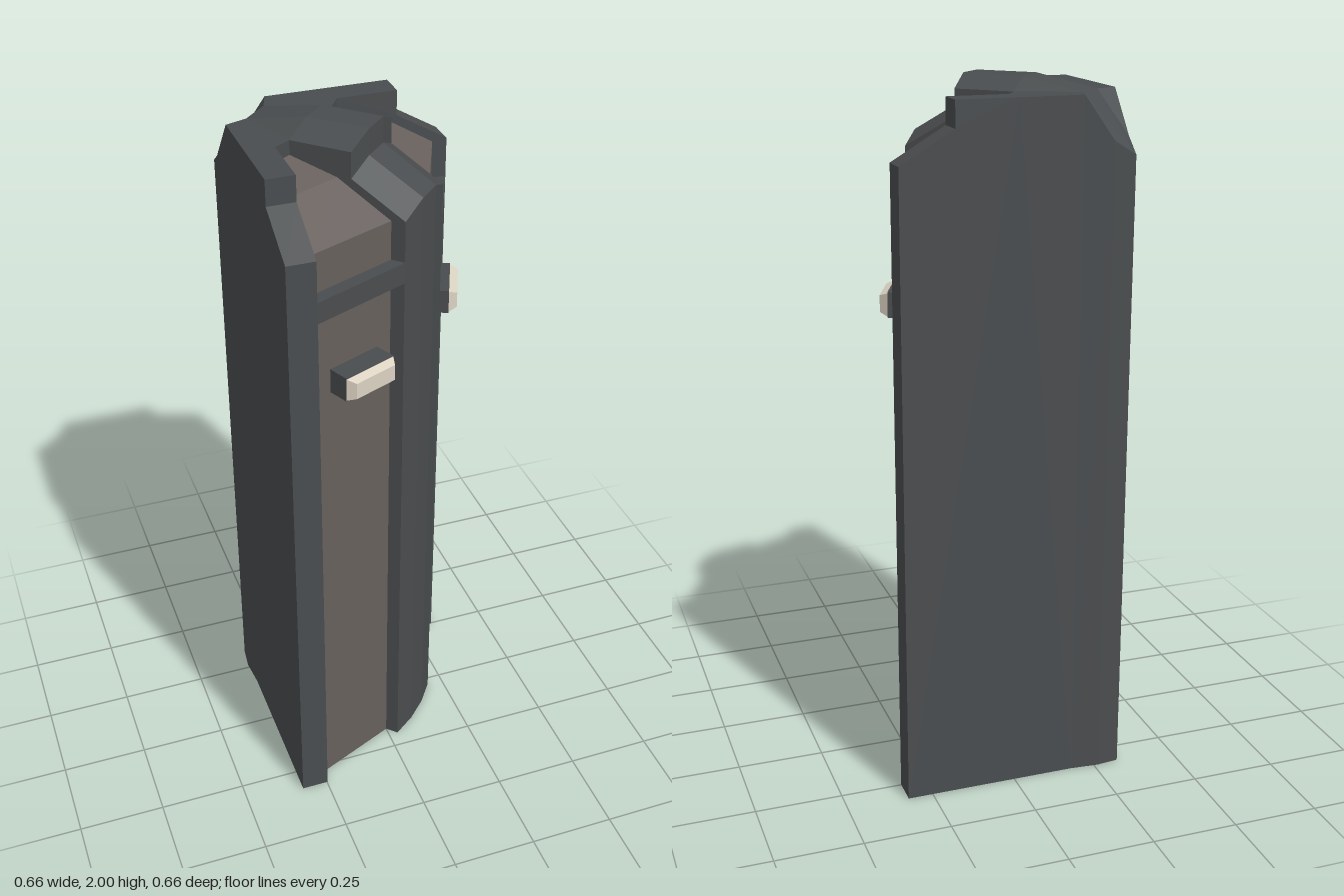
import * as THREE from 'three';

const bodyMat = new THREE.MeshStandardMaterial({ color: 0x4a4d4f, flatShading: true });
const panelMat = new THREE.MeshStandardMaterial({ color: 0x67605d, flatShading: true });
const lampMat = new THREE.MeshStandardMaterial({ color: 0xdcd3c2, flatShading: true });

// Convex polygons, each a counter-clockwise list of [x, y, z], fanned into triangles
function polygons(list) {
  const pos = [];
  for (const p of list)
    for (let i = 1; i < p.length - 1; i++) pos.push(...p[0], ...p[i], ...p[i + 1]);
  const geo = new THREE.BufferGeometry();
  geo.setAttribute('position', new THREE.Float32BufferAttribute(pos, 3));
  geo.computeVertexNormals();
  return geo;
}

// Quads between rows of points; rows run left to right, stacked upwards
function loftFaces(rows) {
  const faces = [];
  for (let r = 0; r < rows.length - 1; r++)
    for (let c = 0; c < rows[r].length - 1; c++)
      faces.push([rows[r][c], rows[r][c + 1], rows[r + 1][c + 1], rows[r + 1][c]]);
  return faces;
}

// Plan points [x, z] lifted to one height or a list of heights
const lift = (plan, y) => plan.map(([x, z], i) => [x, Array.isArray(y) ? y[i] : y, z]);

// Vertical prism over a plan outline
function prism(plan, y0, y1) {
  const shape = new THREE.Shape(plan.map(([x, z]) => new THREE.Vector2(x, -z)));
  return new THREE.ExtrudeGeometry(shape, { depth: y1 - y0, bevelEnabled: false })
    .rotateX(-Math.PI / 2).translate(0, y0, 0);
}

// Copy reflected across the diagonal plane x = z, with the winding restored
function mirrored(geo) {
  const src = (geo.index ? geo.toNonIndexed() : geo).getAttribute('position');
  const pos = [];
  for (let i = 0; i < src.count; i += 3)
    for (const k of [i, i + 2, i + 1]) pos.push(src.getZ(k), src.getY(k), src.getX(k));
  const out = new THREE.BufferGeometry();
  out.setAttribute('position', new THREE.Float32BufferAttribute(pos, 3));
  out.computeVertexNormals();
  return out;
}

export function createModel() {
  const model = new THREE.Group();
  model.name = 'quarterTower';
  const add = (name, geo, mat) => {
    const mesh = new THREE.Mesh(geo, mat);
    mesh.name = name;
    model.add(mesh);
  };
  const addPair = (name, geo, mat) => {
    add(name + 'Front', geo, mat);
    add(name + 'Side', mirrored(geo), mat);
  };

  const W = -0.327, IN = -0.248, DECK = 1.965;
  const flip = ([x, z]) => [z, x];
  const A = [W, -0.178], B = [-0.266, -0.199], C = flip(B), D = flip(A);

  // Core with the flat roof deck
  const deckHalf = [A, [W, 0], [IN, 0], [-0.202, -0.03]];
  add('coreDeck', prism([...deckHalf, ...deckHalf.map(flip).reverse(), C, B], 0, DECK), bodyMat);

  // Back corner: slightly bulged walls and a sloping scooped top
  const K = [W, W], E = [-0.334, -0.262], F = flip(E);
  const [a, b, c, d] = lift([A, B, C, D], DECK);
  const [e, f] = lift([E, F], 1.845);
  const k = [W, 1.805, W];
  const floor = ([x, , z]) => [x, 0, z];
  const walls = [[d, f], [f, k], [k, e], [e, a]].map(([p, q]) => [floor(p), floor(q), q, p]);
  add('backCorner', polygons([
    [e, a, b], [k, e, b], [k, b, c], [k, c, f], [c, d, f],
    ...walls, [k, f, d, c, b, a, e].map(floor),
  ]), bodyMat);

  // Central rib along the diagonal: curved front, sloped shoulder, step and crown
  const outer = [[0.028, 0.2], [0.094, 0.152], [0.152, 0.094], [0.2, 0.028]];
  const inner = [[-0.079, 0.093], [-0.014, 0.046], [0.046, -0.014], [0.093, -0.079]];
  const rear = [[-0.202, -0.03], [-0.139, -0.079], [-0.079, -0.139], [-0.03, -0.202]];
  const arch = (y) => [y, y + 0.035, y + 0.035, y];
  const rows = [
    lift(outer, 0), lift(outer, arch(1.805)), lift(inner, arch(1.893)),
    lift(inner, arch(DECK)), lift(rear, arch(DECK)), [b, b, c, c],
  ];
  const side = (col) => [floor(rows[4][col]), ...rows.slice(0, 5).map((r) => r[col])];
  add('centralRib', polygons([
    ...loftFaces(rows), side(0), side(3).reverse(),
    lift([rear[0], rear[3], ...[...outer].reverse()], 0),
  ]), bodyMat);

  // End ribs with sloped shoulder and step
  const profile = [[0, 0], [0.322, 0], [0.322, 1.805], [0.172, 1.893], [0.172, DECK], [0, DECK]];
  const ribShape = new THREE.Shape(profile.map(([z, y]) => new THREE.Vector2(-z, y)));
  const endRib = new THREE.ExtrudeGeometry(ribShape, { depth: IN - W, bevelEnabled: false })
    .rotateY(Math.PI / 2).translate(W, 0, 0);
  addPair('endRib', endRib, bodyMat);

  // Recessed panels, bending inwards over the shoulder
  const low = [[IN, 0.279], [0, 0.172]];
  const mid = [[IN, 0.132], [-0.107, 0.065]];
  const top = [[IN, 0], [-0.202, -0.03]];
  addPair('panel', polygons([
    ...loftFaces([lift(low, 0), lift(low, 1.8), lift(mid, 1.89), lift(top, 1.925)]),
    lift([...top, low[1], low[0]], 0),
  ]), panelMat);

  // Horizontal bands across the panels
  addPair('band', prism([[IN, 0.322], [0.028, 0.2], [0, 0.172], [IN, 0.279]], 1.63, 1.69), bodyMat);

  // Lamps: dark bracket with a tapered light block, aligned to the panel
  const place = (geo) => geo.translate(0.139, 1.415, 0).rotateY(0.407).translate(IN, 0, 0.279);
  addPair('lampBracket', place(new THREE.BoxGeometry(0.166, 0.07, 0.072).translate(0, 0, 0.026)), bodyMat);
  const lamp = new THREE.BoxGeometry(0.166, 0.064, 0.023);
  const p = lamp.getAttribute('position');
  for (let i = 0; i < p.count; i++)
    if (p.getZ(i) > 0) p.setXY(i, p.getX(i) * 0.81, p.getY(i) * 0.72);
  lamp.computeVertexNormals();
  addPair('lamp', place(lamp.translate(0, 0, 0.0735)), lampMat);

  return model;
}
